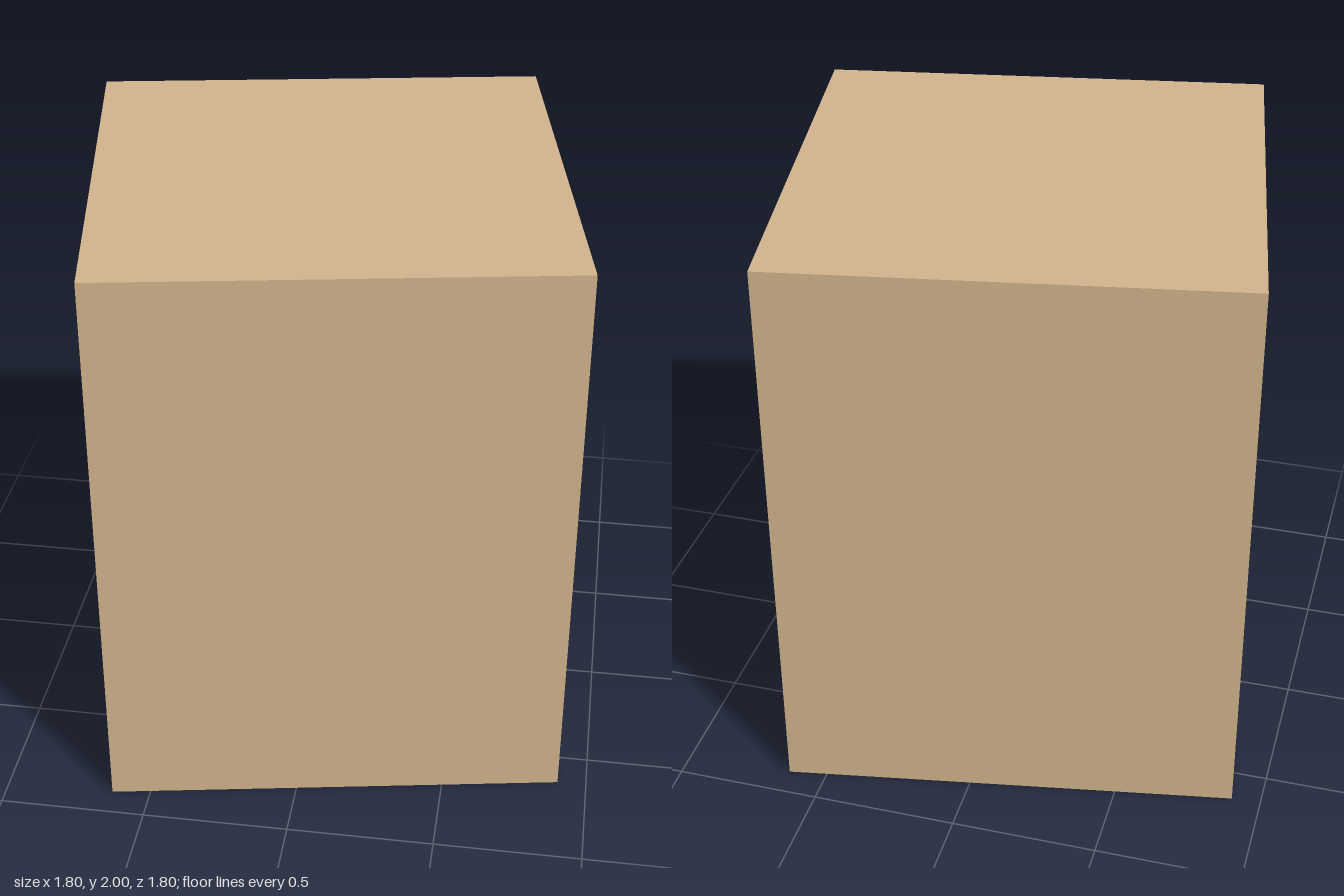
import * as THREE from 'three';

export function createModel() {
  const tan = new THREE.MeshStandardMaterial({ color: 0xd2b48c });
  tan.name = 'tan wall';
  const sienna = new THREE.MeshStandardMaterial({ color: 0xa0522d });
  sienna.name = 'sienna door';

  const H = 2, a = 0.778;                  // height, half side
  const w = 0.195, doorH = 0.782, d = 0.16; // doorway half width, height, depth
  const hut = new THREE.Group();
  hut.name = 'hut';

  const add = (name, geometry, material, pos, rot = [0, 0, 0]) => {
    const mesh = new THREE.Mesh(geometry, material);
    mesh.name = name;
    mesh.position.set(...pos);
    mesh.rotation.set(...rot);
    hut.add(mesh);
  };
  const plane = (x, y) => new THREE.PlaneGeometry(x, y);
  const outline = (pts) =>
    new THREE.ShapeGeometry(new THREE.Shape(pts.map(([x, y]) => new THREE.Vector2(x, y))));
  const q = Math.PI / 2;

  // Plain walls and flat roof
  add('frontWall', plane(2 * a, H), tan, [0, H / 2, a]);
  add('backWall', plane(2 * a, H), tan, [0, H / 2, -a], [0, Math.PI, 0]);
  add('blankSideWall', plane(2 * a, H), tan, [-a, H / 2, 0], [0, -q, 0]);
  add('roof', plane(2 * a, 2 * a), tan, [0, H, 0], [-q, 0, 0]);

  // Wall with the doorway cut out
  add('doorwayWall', outline([
    [-a, 0], [-w, 0], [-w, doorH], [w, doorH], [w, 0], [a, 0], [a, H], [-a, H],
  ]), tan, [a, 0, 0], [0, q, 0]);

  // Underside, notched at the doorway
  add('floor', outline([
    [-a, -a], [a, -a], [a, -w], [a - d, -w], [a - d, w], [a, w], [a, a], [-a, a],
  ]), tan, [0, 0, 0], [q, 0, 0]);

  // Doorway recess: two jambs, lintel and the door at the back
  for (const s of [-1, 1]) {
    add(s < 0 ? 'backJamb' : 'frontJamb', plane(d, doorH), tan,
      [a - d / 2, doorH / 2, s * w], [0, s < 0 ? 0 : Math.PI, 0]);
  }
  add('lintel', plane(d, 2 * w), tan, [a - d / 2, doorH, 0], [q, 0, 0]);
  add('door', plane(2 * w, doorH), sienna, [a - d, doorH / 2, 0], [0, q, 0]);

  // The whole building is turned slightly
  hut.rotation.y = THREE.MathUtils.degToRad(10);
  const model = new THREE.Group();
  model.name = 'building';
  model.add(hut);
  return model;
}
